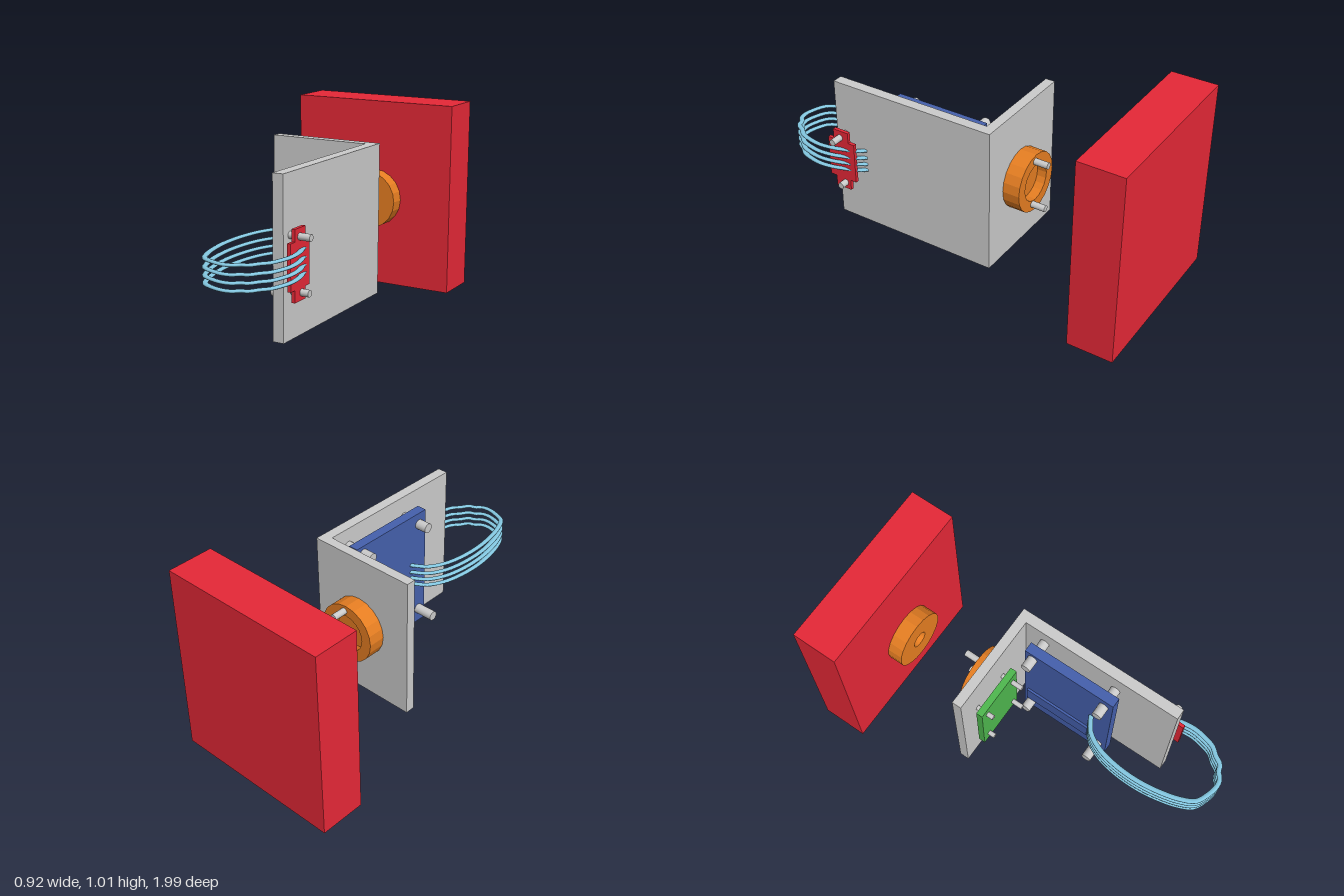
import * as THREE from 'three';

const mat = (color, flatShading = false) =>
  new THREE.MeshStandardMaterial({ color, flatShading });
const GREY = mat(0xcccccc);
const RED = mat(0xe62837);
const ORANGE = mat(0xe67e22, true);
const GREEN = mat(0x4fb84f);
const BLUE = mat(0x4560ac);
const CABLE = mat(0x84c8e2);

export function createModel() {
  const model = new THREE.Group();

  const add = (name, geometry, material) => {
    const mesh = new THREE.Mesh(geometry, material);
    mesh.name = name;
    model.add(mesh);
    return mesh;
  };
  // Box given by its lower and upper limits on each axis
  const box = (name, material, [x0, x1], [y0, y1], [z0, z1]) =>
    add(name, new THREE.BoxGeometry(x1 - x0, y1 - y0, z1 - z0), material)
      .position.set((x0 + x1) / 2, (y0 + y1) / 2, (z0 + z1) / 2);
  // Pins running along x or along z
  const pinX = (name, r, x0, x1, y, z) => {
    const g = new THREE.CylinderGeometry(r, r, x1 - x0, 16).rotateZ(Math.PI / 2);
    add(name, g, GREY).position.set((x0 + x1) / 2, y, z);
  };
  const pinZ = (name, r, x, y, z0, z1) => {
    const g = new THREE.CylinderGeometry(r, r, z1 - z0, 16).rotateX(Math.PI / 2);
    add(name, g, GREY).position.set(x, y, (z0 + z1) / 2);
  };
  // Faceted disc from a radius/height profile, turned to face +z or -z
  const disc = (name, profile, x, y, z, dir) => {
    const pts = profile.map(([r, h]) => new THREE.Vector2(r, h));
    const g = new THREE.LatheGeometry(pts, 20).rotateX(dir * Math.PI / 2);
    add(name, g, ORANGE).position.set(x, y, z);
  };

  // Wall block with its countersunk coupling disc
  box('wallBlock', RED, [-0.46, 0.46], [0, 1.015], [-1, -0.76]);
  disc('wallDisc', [[0, 0], [0.157, 0], [0.157, 0.08], [0.045, 0.08], [0.02, 0.05], [0, 0.05]],
    0.015, 0.483, -0.76, 1);

  // L-shaped bracket, extruded upward
  const outline = [[-0.275, -0.235], [0.31, -0.235], [0.31, 0.67], [0.255, 0.67], [0.255, -0.185], [-0.275, -0.185]];
  const bracketShape = new THREE.Shape(outline.map(([x, z]) => new THREE.Vector2(x, -z)));
  const bracket = new THREE.ExtrudeGeometry(bracketShape, { depth: 0.77, bevelEnabled: false });
  add('bracket', bracket.rotateX(-Math.PI / 2), GREY).position.y = 0.115;

  // Recessed disc on the back of the bracket, with two locating pins
  disc('bracketDisc', [[0, 0], [0.157, 0], [0.157, 0.09], [0.1, 0.09], [0.1, 0.04], [0, 0.04]],
    0.035, 0.502, -0.235, -1);
  pinZ('locatingPin', 0.017, 0.047, 0.628, -0.4, -0.22);
  pinZ('locatingPin', 0.017, 0.063, 0.388, -0.4, -0.22);

  // Small circuit board on four pins
  box('smallBoard', GREEN, [-0.2, 0.088], [0.303, 0.685], [-0.16, -0.125]);
  for (const [x, y, end] of [[-0.157, 0.633, -0.09], [-0.157, 0.36, -0.09], [0.05, 0.624, -0.065], [0.05, 0.36, -0.065]])
    pinZ('smallBoardPin', 0.013, x, y, -0.19, end);

  // Main circuit board with a raised pad, held on four pins
  box('mainBoard', BLUE, [0.153, 0.205], [0.153, 0.828], [-0.12, 0.385]);
  box('mainBoardPad', BLUE, [0.141, 0.154], [0.262, 0.365], [-0.1, 0.27]);
  for (const [x, y, z] of [[0.09, 0.785, -0.075], [0.09, 0.764, 0.335], [0.09, 0.235, -0.075], [0.045, 0.235, 0.335]])
    pinX('mainBoardPin', 0.026, x, 0.26, y, z);

  // Connector plate with two narrow ears, on two pins
  const ear = [[0.53, 0.365], [0.565, 0.365], [0.565, 0.307], [0.655, 0.307], [0.655, 0.365], [0.69, 0.365],
    [0.69, 0.585], [0.655, 0.585], [0.655, 0.642], [0.565, 0.642], [0.565, 0.585], [0.53, 0.585]];
  const plateShape = new THREE.Shape(ear.map(([z, y]) => new THREE.Vector2(-z, y)));
  const plate = new THREE.ExtrudeGeometry(plateShape, { depth: 0.018, bevelEnabled: false });
  add('connectorPlate', plate.rotateY(Math.PI / 2), RED).position.x = 0.342;
  pinX('connectorPin', 0.017, 0.3, 0.42, 0.603, 0.615);
  pinX('connectorPin', 0.017, 0.3, 0.402, 0.343, 0.597);

  // Four looping cables from the main board round to the connector
  const route = [[0.155, 0.275], [0.08, 0.325], [0.032, 0.41], [0.008, 0.52], [0.003, 0.65], [0.018, 0.77],
    [0.045, 0.87], [0.08, 0.935], [0.14, 0.965], [0.2, 0.978], [0.24, 0.97], [0.268, 0.945], [0.3, 0.935],
    [0.33, 0.89], [0.36, 0.855], [0.38, 0.79], [0.388, 0.73], [0.378, 0.65], [0.355, 0.58], [0.335, 0.53], [0.305, 0.492]];
  const curve = new THREE.CatmullRomCurve3(route.map(([x, z]) => new THREE.Vector3(x, 0, z)));
  const cable = new THREE.TubeGeometry(curve, 80, 0.013, 10).scale(1, 0.6, 1);
  for (const y of [0.54, 0.498, 0.461, 0.426]) add('cable', cable, CABLE).position.y = y;

  return model;
}
